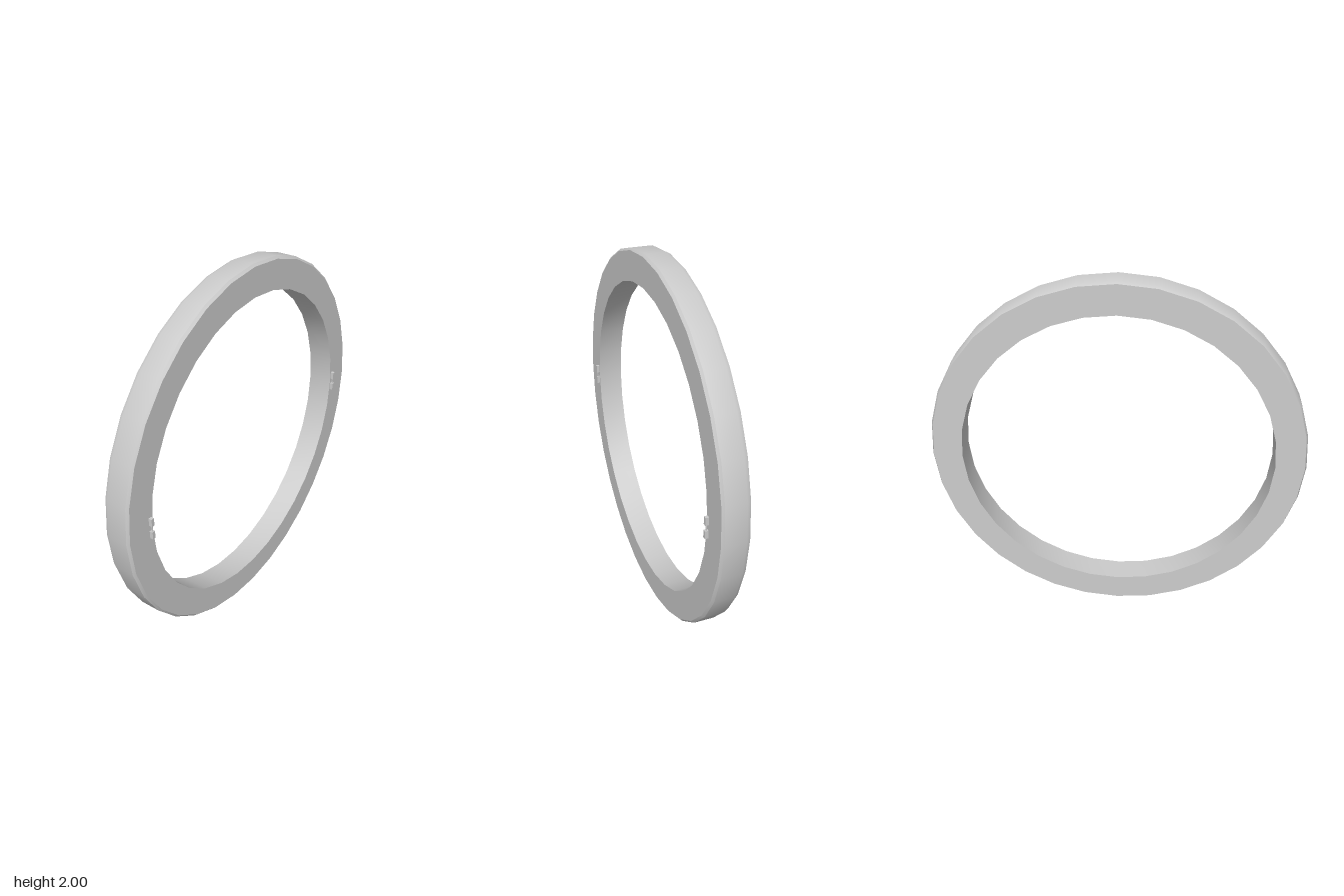
import * as THREE from 'three';
import { toCreasedNormals } from 'three/addons/utils/BufferGeometryUtils.js';

const grey = new THREE.MeshStandardMaterial({ color: 0xcccccc });

function addMesh(parent, name, geometry, x, y, z) {
  const mesh = new THREE.Mesh(geometry, grey);
  mesh.name = name;
  mesh.position.set(x, y, z);
  parent.add(mesh);
}

export function createModel() {
  const model = new THREE.Group();
  model.name = 'ringFrame';

  // Ring: closed section (radius, position along x) with chamfered outer rims
  const section = [
    [0.835, -0.078], [0.99, -0.078], [1, -0.058], [1, 0.048],
    [0.988, 0.06], [0.835, 0.06], [0.835, -0.078],
  ].map(([r, x]) => new THREE.Vector2(r, x));
  const ring = new THREE.LatheGeometry(section, 32).rotateZ(-Math.PI / 2);
  addMesh(model, 'ring', toCreasedNormals(ring, 0.52), 0, 1, 0);

  // Two small hinges on the left face, each a pair of knuckles on a thin pin
  for (const side of [1, -1]) {
    const hinge = new THREE.Group();
    hinge.name = side > 0 ? 'frontHinge' : 'backHinge';
    hinge.position.set(0.0685, 1.004, side * 0.847);
    for (const end of [1, -1]) {
      const name = end > 0 ? 'upperKnuckle' : 'lowerKnuckle';
      addMesh(hinge, name, new THREE.BoxGeometry(0.018, 0.042, 0.017), 0, end * 0.037, 0);
    }
    addMesh(hinge, 'hingePin', new THREE.CylinderGeometry(0.004, 0.004, 0.04, 8), 0, 0, 0);
    model.add(hinge);
  }
  return model;
}
